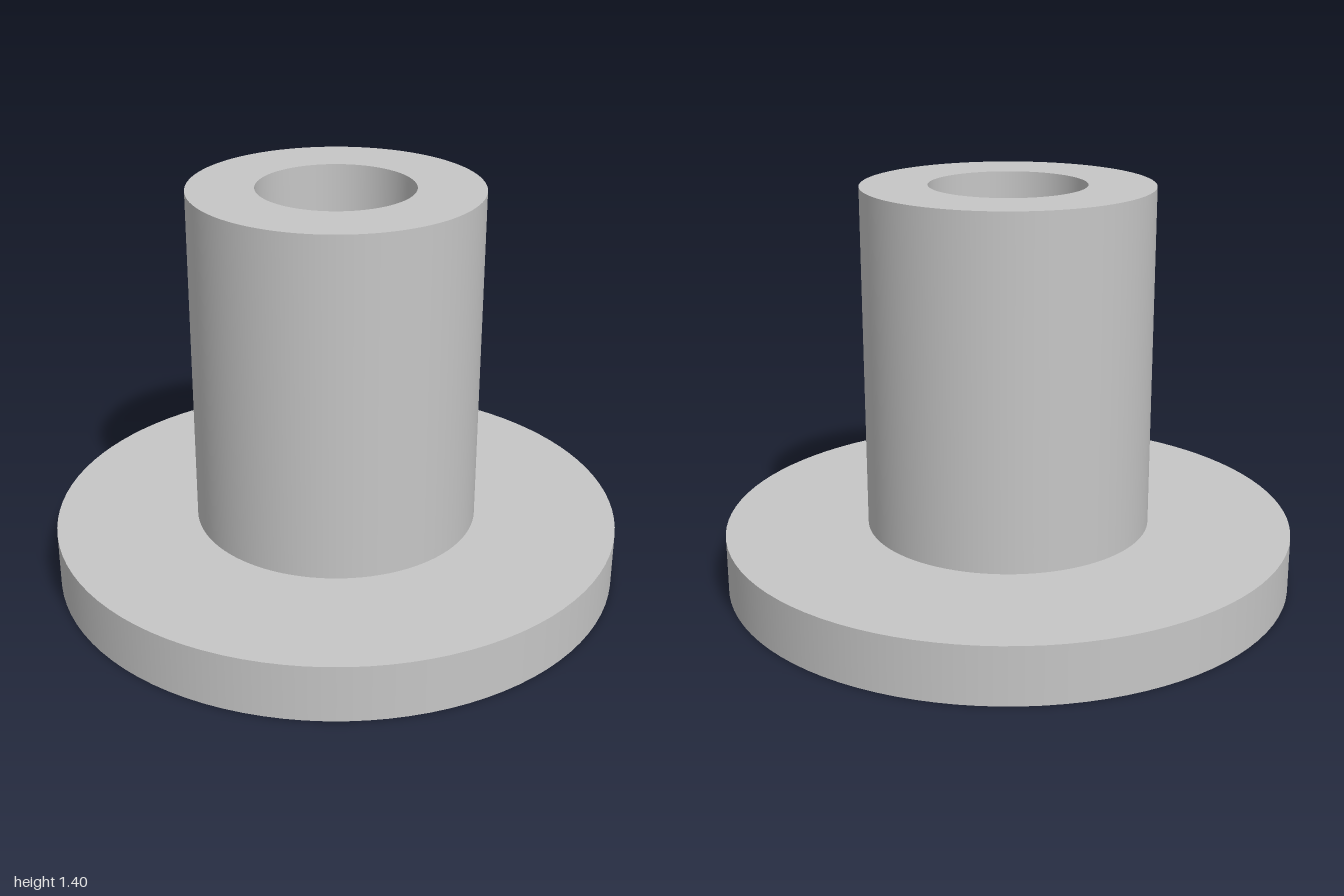
import * as THREE from 'three';
import { mergeGeometries } from 'three/addons/utils/BufferGeometryUtils.js';

const SEGMENTS = 96;
const FLANGE_RADIUS = 1, FLANGE_HEIGHT = 0.2;
const SLEEVE_RADIUS = 0.5, BORE_RADIUS = 0.27, TOP = 1.4;

// Revolve each profile segment separately so the edges between them stay sharp
function sharpLathe(profile) {
  const pts = profile.map(([r, y]) => new THREE.Vector2(r, y));
  const bands = pts.slice(1).map((p, i) => new THREE.LatheGeometry([pts[i], p], SEGMENTS));
  return mergeGeometries(bands);
}

export function createModel() {
  const grey = new THREE.MeshStandardMaterial({ color: 0xc6c6c6 });
  grey.name = 'plain grey';

  const group = new THREE.Group();
  group.name = 'flangedBushing';

  // Solid disc; its top also closes the bottom of the bore
  const flange = new THREE.Mesh(
    new THREE.CylinderGeometry(FLANGE_RADIUS, FLANGE_RADIUS, FLANGE_HEIGHT, SEGMENTS), grey);
  flange.name = 'flange';
  flange.position.y = FLANGE_HEIGHT / 2;

  // Hollow sleeve: outer wall, rim, bore wall
  const sleeve = new THREE.Mesh(sharpLathe([
    [SLEEVE_RADIUS, FLANGE_HEIGHT],
    [SLEEVE_RADIUS, TOP],
    [BORE_RADIUS, TOP],
    [BORE_RADIUS, FLANGE_HEIGHT],
  ]), grey);
  sleeve.name = 'sleeve';

  group.add(flange, sleeve);
  return group;
}
